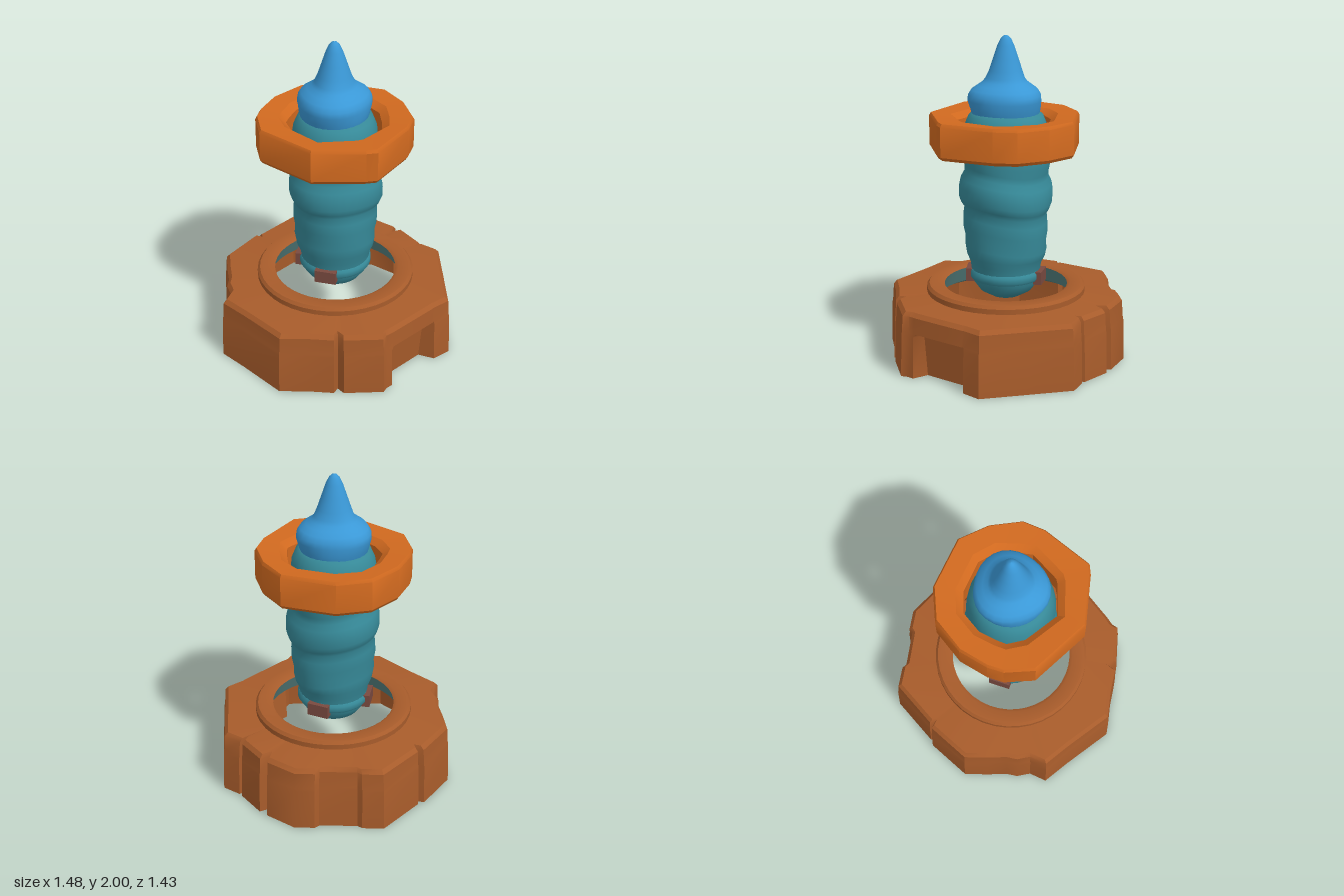
import * as THREE from 'three';
import { toCreasedNormals } from 'three/addons/utils/BufferGeometryUtils.js';

const mat = (name, color, side = THREE.FrontSide) => {
  const m = new THREE.MeshStandardMaterial({ color, side });
  m.name = name;
  return m;
};

// Joins equal-length closed rings of [x, y, z] points, listed bottom to top on the outside.
function loft(rings, crease) {
  const n = rings[0].length, index = [];
  for (let i = 0; i < rings.length - 1; i++) {
    for (let j = 0; j < n; j++) {
      const k = (j + 1) % n;
      const a = i * n + j, b = i * n + k, c = (i + 1) * n + k, d = (i + 1) * n + j;
      index.push(a, b, c, a, c, d);
    }
  }
  const g = new THREE.BufferGeometry();
  g.setAttribute('position', new THREE.Float32BufferAttribute(rings.flat(2), 3));
  g.setIndex(index);
  g.computeVertexNormals();
  return crease ? toCreasedNormals(g, crease) : g;
}

// Round ring; wave(angle) may return [radius factor, height shift].
const circle = (r, y, n, wave = () => [1, 0]) => Array.from({ length: n }, (_, j) => {
  const t = (j / n) * Math.PI * 2, [f, dy] = wave(t);
  return [Math.sin(t) * r * f, y + dy, Math.cos(t) * r * f];
});

const revolve = (profile, n, crease, wave) =>
  loft(profile.map(([r, y]) => circle(r, y, n, wave && (t => wave(t, y)))), crease);

// Rough stone footprint [x, z, carved], running from the front round by +x.
const FOOT = [
  [-0.27, 0.715], [-0.1, 0.7], [0.06, 0.7], [0.08, 0.655], [0.12, 0.695], [0.36, 0.66], [0.375, 0.62],
  [0.405, 0.59], [0.415, 0.58, 1], [0.53, 0.445, 1], [0.64, 0.315, 1], [0.65, 0.3], [0.74, 0.215],
  [0.7, -0.07], [0.66, -0.35], [0.555, -0.41], [0.52, -0.385], [0.535, -0.43], [0.405, -0.58],
  [0.345, -0.545], [0.355, -0.615], [0.18, -0.72], [0.055, -0.715], [0.03, -0.69], [-0.2, -0.675],
  [-0.23, -0.695], [-0.36, -0.69], [-0.56, -0.425], [-0.55, -0.395], [-0.595, -0.405], [-0.74, -0.15],
  [-0.71, 0], [-0.68, 0.12], [-0.68, 0.19], [-0.645, 0.27], [-0.67, 0.38], [-0.52, 0.5],
];

// Collar outline and hole radius by direction, listed the same way.
const COLLAR = [
  [-0.095, 0.46], [0.22, 0.425], [0.285, 0.405], [0.44, 0.11], [0.468, -0.03], [0.4, -0.22],
  [0.275, -0.38], [-0.05, -0.452], [-0.255, -0.39], [-0.4, -0.215], [-0.46, -0.04], [-0.47, 0.06],
  [-0.42, 0.235],
];

export function createModel() {
  const group = new THREE.Group();
  const stone = mat('brown stone', 0xa85c2b, THREE.DoubleSide);
  const lining = mat('grey teal', 0x55807f, THREE.DoubleSide);
  const teal = mat('teal', 0x378b9a);
  const orange = mat('orange', 0xd0691f);
  const blue = mat('blue', 0x3a98d6);
  const clipBrown = mat('dark reddish brown', 0x7a4a40);
  const add = (name, geometry, material) => {
    const mesh = new THREE.Mesh(geometry, material);
    mesh.name = name;
    group.add(mesh);
    return mesh;
  };

  // Hollow stone base with a carved recess in one corner
  const foot = (s, y, carve = 1) => FOOT.map(([x, z, cut]) => {
    const f = s * (cut ? carve : 1);
    return [x * f, y, z * f];
  });
  const toRadius = (r, y) => FOOT.map(([x, z]) => {
    const l = Math.hypot(x, z);
    return [x / l * r, y, z / l * r];
  });
  add('stoneBase', loft([
    foot(1, 0, 0.86), foot(0.99, 0.26, 0.9), foot(0.985, 0.28),
    foot(0.975, 0.38), foot(0.945, 0.405), toRadius(0.47, 0.42),
  ], 0.6), stone);

  // Raised rim and flared lining of the well
  add('baseRim', revolve([[0.49, 0.4], [0.49, 0.45], [0.475, 0.468], [0.4, 0.472], [0.38, 0.46]], 40, 0.6), stone);
  add('wellLining', revolve([[0.48, 0.33], [0.42, 0.36], [0.38, 0.46]], 40, 0.6), lining);

  // Twisted body with swollen coils and a rounded underside
  const body = [
    [0.001, 0.37], [0.09, 0.385], [0.16, 0.425], [0.2, 0.48], [0.21, 0.54], [0.218, 0.6], [0.24, 0.65],
    [0.25, 0.71], [0.247, 0.76], [0.258, 0.82], [0.258, 0.89], [0.252, 0.94], [0.272, 0.97],
    [0.286, 1.01], [0.286, 1.07], [0.277, 1.12], [0.256, 1.16], [0.256, 1.2], [0.266, 1.25],
    [0.266, 1.31], [0.26, 1.38], [0.25, 1.46], [0.225, 1.52], [0.19, 1.545], [0.001, 1.55],
  ];
  add('body', revolve(body, 36, 0, (t, y) => {
    const k = THREE.MathUtils.smoothstep(y, 0.58, 0.75) * (1 - THREE.MathUtils.smoothstep(y, 1.3, 1.5));
    return [1 + 0.015 * k * Math.sin(3 * t + y * 9), k * (0.022 * Math.sin(t + 2.4) + 0.012 * Math.sin(2 * t))];
  }), teal);

  // Band with three clips
  add('band', revolve([[0.19, 0.495], [0.213, 0.5], [0.223, 0.515], [0.223, 0.545], [0.213, 0.56], [0.19, 0.565]], 32, 0.7), teal);
  for (const angle of [-0.17, -1.68, 2.8]) {
    const clip = add('bandClip', new THREE.BoxGeometry(0.135, 0.08, 0.05), clipBrown);
    clip.position.set(Math.sin(angle) * 0.216, 0.52, Math.cos(angle) * 0.216);
    clip.rotation.y = angle;
  }

  // Faceted floating collar, closed all round its section
  const rim = (s, y) => COLLAR.map(([x, z]) => [x * s, y, z * s]);
  const hole = (r, y) => COLLAR.map(([x, z], j) => {
    const l = Math.hypot(x, z), f = r + 0.008 * Math.cos(j * 2.3);
    return [x / l * f, y, z / l * f];
  });
  add('collar', loft([
    hole(0.285, 1.48), hole(0.285, 1.33), hole(0.31, 1.305), rim(0.97, 1.305), rim(1, 1.325),
    rim(1, 1.505), rim(0.975, 1.524), hole(0.33, 1.515), hole(0.285, 1.48),
  ], 0.55), orange);

  // Domed head drawn up to a point
  const head = [
    [0.17, 1.45], [0.198, 1.5], [0.212, 1.56], [0.222, 1.61], [0.219, 1.645], [0.2, 1.675], [0.165, 1.7],
    [0.135, 1.722], [0.118, 1.745], [0.1, 1.79], [0.075, 1.865], [0.05, 1.94], [0.032, 1.978],
    [0.016, 1.995], [0.001, 2],
  ];
  const cap = add('head', revolve(head, 28, 0, (t, y) =>
    [1 + (y > 1.6 && y < 1.76 ? 0.04 : 0.01) * Math.cos(3 * t), 0]), blue);
  cap.position.x = -0.005;

  return group;
}
